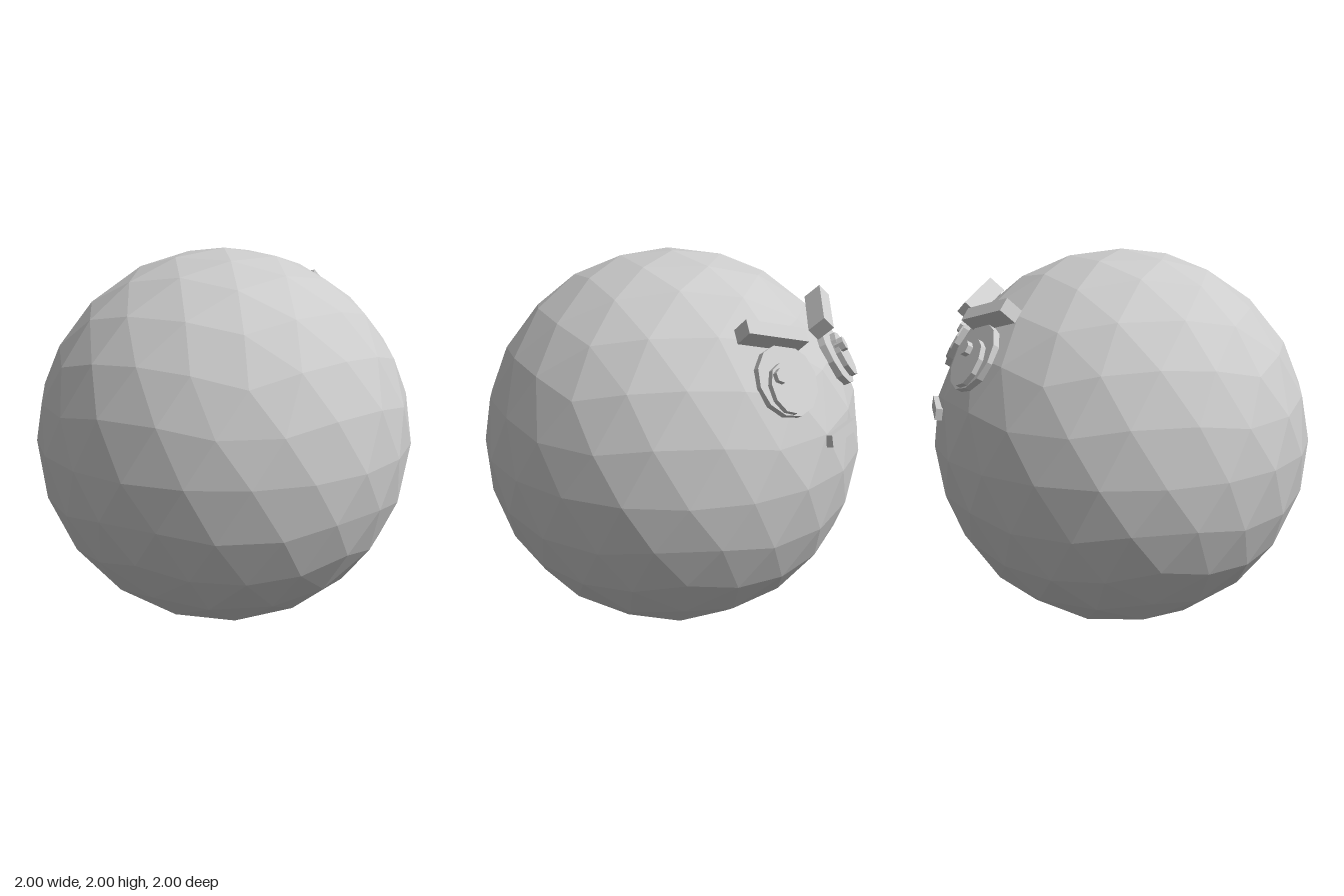
import * as THREE from 'three';

const grey = new THREE.MeshStandardMaterial({ color: 0xcccccc, flatShading: true });
grey.name = 'light grey';

// Faceted ball: an icosahedron standing on a point, each triangle split in four again and again
function icosphere(levels) {
  const ring = (start, y) => Array.from({ length: 5 }, (_, k) => {
    const a = start + (k * Math.PI * 2) / 5;
    return new THREE.Vector3(Math.cos(a) * 2, y, Math.sin(a) * 2).normalize();
  });
  const top = new THREE.Vector3(0, 1, 0), bottom = new THREE.Vector3(0, -1, 0);
  const upper = ring(0, 1), lower = ring(Math.PI / 5, -1);
  let faces = [];
  for (let k = 0; k < 5; k++) {
    const n = (k + 1) % 5;
    faces.push([top, upper[n], upper[k]], [upper[k], upper[n], lower[k]],
      [lower[k], upper[n], lower[n]], [lower[k], lower[n], bottom]);
  }
  const mid = (a, b) => a.clone().add(b).normalize();
  for (let i = 0; i < levels; i++) {
    faces = faces.flatMap(([a, b, c]) => {
      const ab = mid(a, b), bc = mid(b, c), ca = mid(c, a);
      return [[a, ab, ca], [ab, b, bc], [ca, bc, c], [ab, bc, ca]];
    });
  }
  const geometry = new THREE.BufferGeometry().setFromPoints(faces.flat());
  geometry.computeVertexNormals();
  return geometry;
}

// Flat disc whose outer face is centred on a point and looks along a normal
function disc(name, front, normal, rx, ry, depth, sides) {
  const geometry = new THREE.CylinderGeometry(1, 1, depth, sides).rotateX(Math.PI / 2).scale(rx, ry, 1);
  const mesh = new THREE.Mesh(geometry, grey);
  mesh.name = name;
  mesh.position.copy(front).addScaledVector(normal, -depth / 2);
  mesh.lookAt(mesh.position.clone().add(normal));
  return mesh;
}

// Box with its length along one direction and its depth facing outward
function bar(name, centre, along, outward, length, height, depth) {
  const mesh = new THREE.Mesh(new THREE.BoxGeometry(length, height, depth), grey);
  mesh.name = name;
  const x = along.clone().normalize();
  const y = outward.clone().cross(x).normalize();
  const z = x.clone().cross(y);
  mesh.quaternion.setFromRotationMatrix(new THREE.Matrix4().makeBasis(x, y, z));
  mesh.position.copy(centre);
  return mesh;
}

export function createModel() {
  const model = new THREE.Group();
  model.name = 'ballWithFace';
  const v = (x, y, z) => new THREE.Vector3(x, y, z);

  // Parts are placed about the centre of the ball, which is then lifted to the ground
  const body = new THREE.Mesh(icosphere(2), grey);
  body.name = 'ballBody';
  model.add(body);

  // Eyes and slanted brows on the -z side
  for (const [side, s] of [['left', 1], ['right', -1]]) {
    const normal = v(s * 0.28, 0.518, -0.81).normalize();
    model.add(
      disc(side + 'Eye', v(s * 0.281, 0.52, -0.812), normal, 0.18, 0.18, 0.08, 12),
      disc(side + 'Iris', v(s * 0.335, 0.5, -0.84), normal, 0.097, 0.125, 0.06, 10),
      // both glints sit towards the same side
      disc(side + 'Glint', v(s > 0 ? 0.364 : -0.29, 0.567, s > 0 ? -0.82 : -0.85), normal, 0.037, 0.037, 0.05, 6),
      bar(side + 'Brow', v(s * 0.265, 0.715, -0.71), v(s * 0.305, 0.09, 0.168), v(s * 0.265, 0.715, -0.71), 0.35, 0.075, 0.1),
    );
  }

  // Straight mouth
  model.add(bar('mouth', v(0, 0.2, -0.978), v(1, 0, 0), v(0, 0.17, -0.98), 0.295, 0.06, 0.035));

  for (const part of model.children) part.position.y += 1;
  return model;
}
